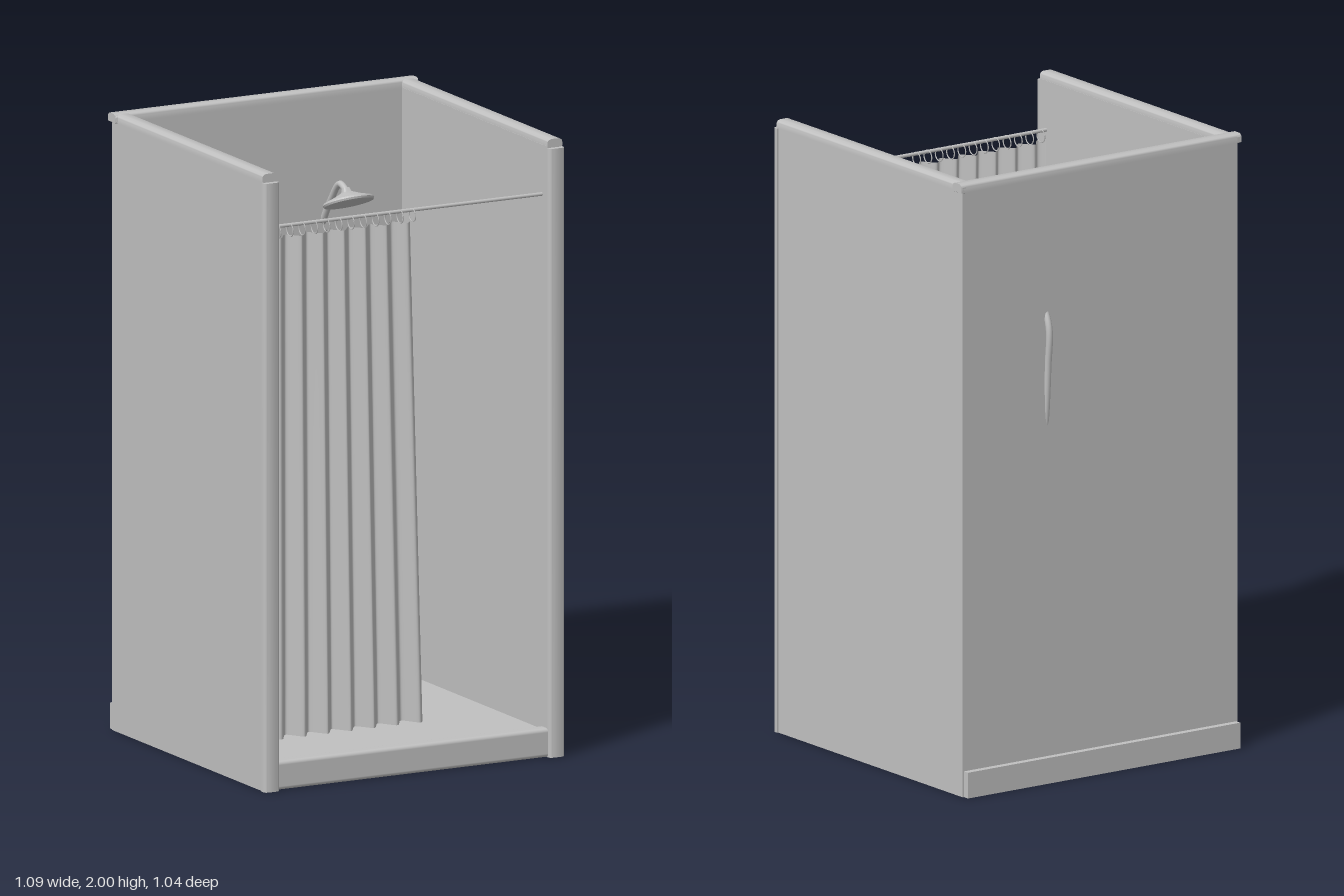
import * as THREE from 'three';
import { toCreasedNormals } from 'three/addons/utils/BufferGeometryUtils.js';
import { RoundedBoxGeometry } from 'three/addons/geometries/RoundedBoxGeometry.js';

const grey = new THREE.MeshStandardMaterial({ color: 0xc0c0c0 });
grey.name = 'light grey';
const cloth = new THREE.MeshStandardMaterial({ color: 0xc0c0c0, side: THREE.DoubleSide });
cloth.name = 'curtain grey';

// Rail with a softly domed top (+y), running along z
function domedRail(width, height, length) {
  const w = width / 2;
  const s = new THREE.Shape();
  s.moveTo(-w, 0);
  s.lineTo(w, 0);
  s.lineTo(w, height * 0.5);
  s.quadraticCurveTo(w, height * 0.9, w * 0.5, height);
  s.lineTo(-w * 0.5, height);
  s.quadraticCurveTo(-w, height * 0.9, -w, height * 0.5);
  const g = new THREE.ExtrudeGeometry(s, { depth: length, bevelEnabled: false, curveSegments: 5 });
  g.translate(0, 0, -length / 2);
  return toCreasedNormals(g, 0.7);
}

export function createModel() {
  const model = new THREE.Group();
  const add = (name, geometry, x = 0, y = 0, z = 0, parent = model, material = grey) => {
    const m = new THREE.Mesh(geometry, material);
    m.name = name;
    m.position.set(x, y, z);
    parent.add(m);
    return m;
  };

  // Tray, rounded front curb and floor drain
  add('tray', new THREE.BoxGeometry(1.06, 0.084, 0.99), 0, 0.042, -0.022);
  add('frontCurb', new RoundedBoxGeometry(1.04, 0.093, 0.05, 4, 0.012), 0, 0.0465, 0.48);
  add('drain', new THREE.CylinderGeometry(0.035, 0.038, 0.014, 24), 0, 0.091, 0);
  add('drainCap', new THREE.CylinderGeometry(0.018, 0.022, 0.006, 20), 0, 0.1, 0);

  // Walls with domed caps and front posts
  add('backWall', new THREE.BoxGeometry(1.07, 1.975, 0.04), 0, 0.9875, -0.475);
  add('backCap', domedRail(0.048, 0.028, 1.09).rotateY(Math.PI / 2), 0, 1.972, -0.479);
  for (const side of [-1, 1]) {
    add('sideWall', new THREE.BoxGeometry(0.05, 1.975, 0.995), side * 0.51, 0.9875, 0.0025);
    add('sideCap', domedRail(0.053, 0.026, 0.99), side * 0.5125, 1.972, 0.005);
    add('capCorner', new RoundedBoxGeometry(0.022, 0.025, 0.05, 3, 0.006), side * 0.534, 1.982, -0.478);
    add('frontPost', domedRail(0.055, 0.022, 1.97).rotateX(Math.PI / 2), side * 0.5125, 0.985, 0.496);
  }

  // Curtain rod and hooks
  add('curtainRod', new THREE.CylinderGeometry(0.006, 0.006, 0.98, 12).rotateZ(Math.PI / 2), 0, 1.815, 0.465);
  for (let i = 0; i < 12; i++) {
    const hook = add('curtainHook', new THREE.TorusGeometry(0.021, 0.002, 5, 16), -0.465 + i * 0.044, 1.798, 0.465);
    hook.rotation.y = Math.PI / 2;
  }

  // Pleated curtain, spreading slightly toward the hem
  const curtain = new THREE.PlaneGeometry(1, 1, 120, 10);
  const p = curtain.attributes.position;
  for (let i = 0; i < p.count; i++) {
    const u = p.getX(i) + 0.5, drop = 0.5 - p.getY(i);
    const phase = u * Math.PI * 2 * 6.5;
    const x = -0.485 + u * (0.495 + 0.045 * drop) + 0.008 * Math.sin(phase * 2) * u * (1 - u);
    p.setXYZ(i, x, 1.78 - 1.62 * drop, 0.465 + (0.02 + 0.006 * drop) * Math.sin(phase));
  }
  curtain.computeVertexNormals();
  add('curtain', curtain, 0, 0, 0, model, cloth);

  // Soap shelf with a bar of soap
  add('soapShelf', new RoundedBoxGeometry(0.205, 0.025, 0.09, 3, 0.005), -0.288, 0.89, -0.41);
  add('soap', new RoundedBoxGeometry(0.08, 0.028, 0.042, 5, 0.013), -0.285, 0.914, -0.41);

  // Supply pipe: rises from the valve, passes through the wall and bends out to the head
  const path = new THREE.CatmullRomCurve3([
    [0.78, -0.44], [0.94, -0.446], [1.04, -0.466], [1.17, -0.485], [1.35, -0.498], [1.48, -0.504],
    [1.56, -0.468], [1.65, -0.41], [1.715, -0.35], [1.7, -0.305],
  ].map(([y, z]) => new THREE.Vector3(0.205, y, z)));
  add('supplyPipe', new THREE.TubeGeometry(path, 70, 0.011, 12));
  add('pipeEnd', new THREE.CylinderGeometry(0.011, 0.011, 0.004, 12), 0.205, 0.78, -0.44);

  // Shower head: shallow cone tipped forward
  const headProfile = [[0, -0.012], [0.08, -0.01], [0.083, -0.004], [0.08, 0.002], [0.045, 0.014], [0.018, 0.026], [0.013, 0.04], [0, 0.042]];
  const headShape = new THREE.LatheGeometry(headProfile.map(([r, y]) => new THREE.Vector2(r, y)), 36);
  const head = add('showerHead', toCreasedNormals(headShape, 0.7), 0.205, 1.672, -0.295);
  head.rotation.x = -0.42;

  // Valve with a spoked hand wheel
  const valve = new THREE.Group();
  valve.name = 'valve';
  valve.position.set(0.205, 0.94, 0);
  model.add(valve);
  const disc = (r, depth) => new THREE.CylinderGeometry(r, r, depth, 24).rotateX(Math.PI / 2);
  add('valveBody', disc(0.025, 0.028), 0, 0, -0.443, valve);
  add('valveStem', disc(0.009, 0.05), 0, 0, -0.428, valve);
  add('wheelHub', disc(0.015, 0.014), 0, 0, -0.409, valve);
  add('wheelRim', new THREE.TorusGeometry(0.049, 0.006, 10, 36), 0, 0, -0.41, valve);
  for (let i = 0; i < 3; i++) {
    const spoke = add('wheelSpoke', new THREE.CylinderGeometry(0.004, 0.004, 0.098, 8), 0, 0, -0.41, valve);
    spoke.rotation.z = (i * Math.PI) / 3;
  }

  return model;
}
